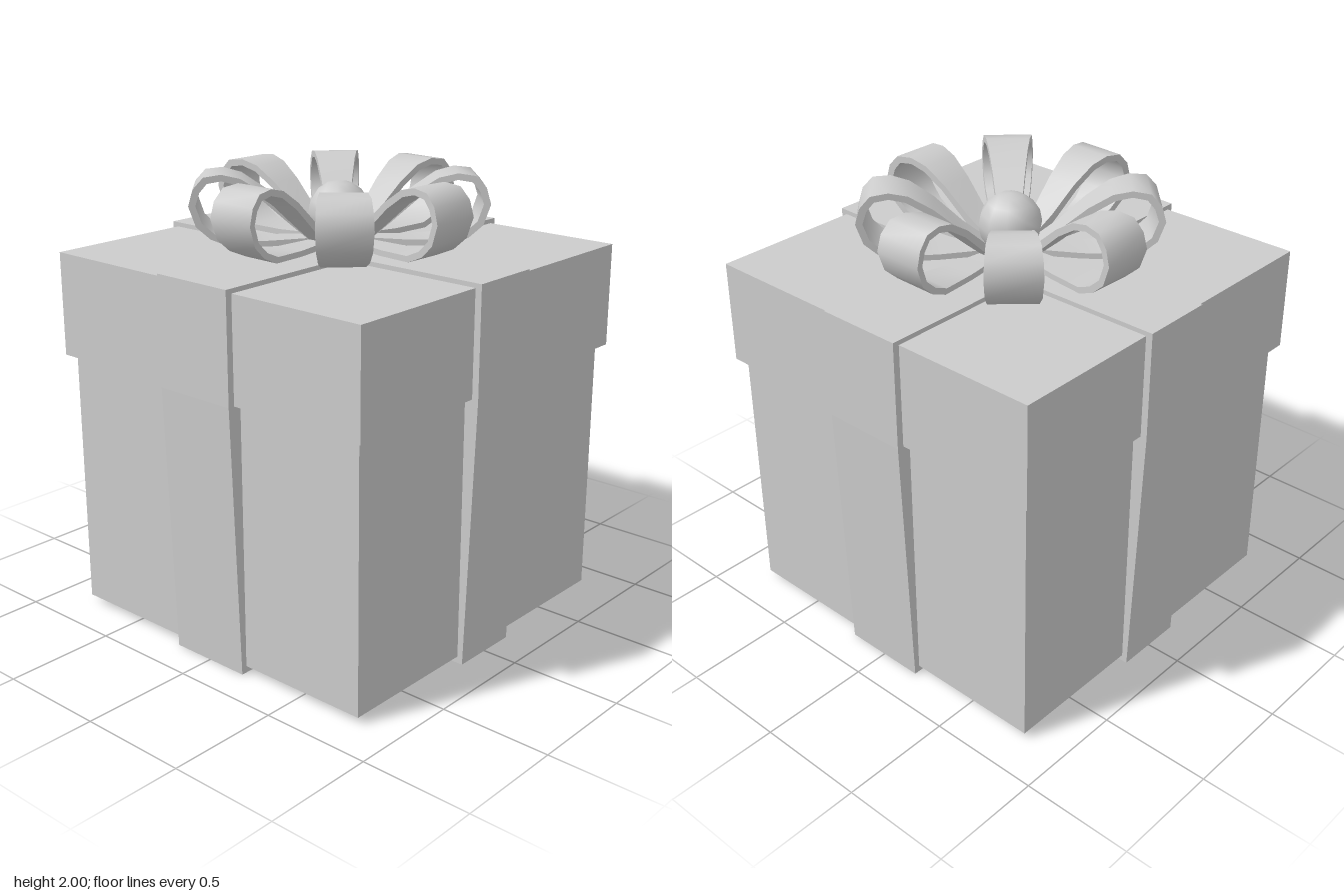
import * as THREE from 'three';
import { toCreasedNormals } from 'three/addons/utils/BufferGeometryUtils.js';

const material = new THREE.MeshStandardMaterial({ color: 0xcccccc });

function addMesh(parent, name, geometry) {
  const mesh = new THREE.Mesh(geometry, material);
  mesh.name = name;
  parent.add(mesh);
  return mesh;
}

const toPoints = (list) => list.map(([x, y]) => new THREE.Vector2(x, y));

// Square block standing between two heights
function block(parent, name, half, y0, y1) {
  const geometry = new THREE.BoxGeometry(2 * half, y1 - y0, 2 * half);
  geometry.translate(0, (y0 + y1) / 2, 0);
  addMesh(parent, name, geometry);
}

// Band wrapped around the box: vertical over the lid, tapering to the base
function bandGeometry(width) {
  const side = [[0.84, 0], [0.88, 1.2], [0.88, 1.68]];
  const mirrored = side.map(([x, y]) => [-x, y]).reverse();
  const shape = new THREE.Shape(toPoints([...side, ...mirrored]));
  const geometry = new THREE.ExtrudeGeometry(shape, { depth: width, bevelEnabled: false });
  return geometry.translate(0, 0, -width / 2);
}

// Teardrop ribbon loop that widens away from the knot
function loopGeometry() {
  const outer = [
    [0.07, 1.69], [0.3, 1.685], [0.47, 1.69], [0.55, 1.725], [0.61, 1.78], [0.64, 1.87],
    [0.62, 1.94], [0.575, 1.99], [0.5, 2.0], [0.42, 1.98], [0.32, 1.915], [0.2, 1.81], [0.07, 1.72],
  ];
  const inner = [
    [0.14, 1.715], [0.3, 1.71], [0.46, 1.715], [0.53, 1.745], [0.585, 1.795], [0.61, 1.87],
    [0.592, 1.925], [0.56, 1.963], [0.5, 1.972], [0.43, 1.953], [0.335, 1.89], [0.22, 1.785],
  ];
  const shape = new THREE.Shape(toPoints(outer));
  shape.holes.push(new THREE.Path(toPoints(inner)));
  const geometry = new THREE.ExtrudeGeometry(shape, { depth: 1, bevelEnabled: false });
  geometry.translate(0, 0, -0.5);
  const p = geometry.attributes.position;
  for (let i = 0; i < p.count; i++) p.setZ(i, p.getZ(i) * (0.05 + 0.285 * p.getX(i)));
  return toCreasedNormals(geometry, 0.9);
}

export function createModel() {
  const model = new THREE.Group();
  model.name = 'giftBox';

  // Box and overhanging lid
  block(model, 'boxBody', 0.815, 0.03, 1.2);
  block(model, 'lid', 0.85, 1.2, 1.66);

  // Crossing ribbon bands
  addMesh(model, 'sideToSideRibbon', bandGeometry(0.39));
  addMesh(model, 'frontToBackRibbon', bandGeometry(0.325)).rotation.y = Math.PI / 2;

  // Bow of eight loops, turned slightly off the box axes
  const bow = new THREE.Group();
  bow.name = 'bow';
  const loop = loopGeometry();
  for (let i = 0; i < 8; i++) {
    addMesh(bow, 'bowLoop', loop).rotation.y = -(i * Math.PI / 4 + 0.03);
  }

  // Round knot in the middle
  addMesh(bow, 'bowKnot', new THREE.SphereGeometry(0.137, 10, 8)).position.y = 1.82;
  model.add(bow);
  return model;
}
